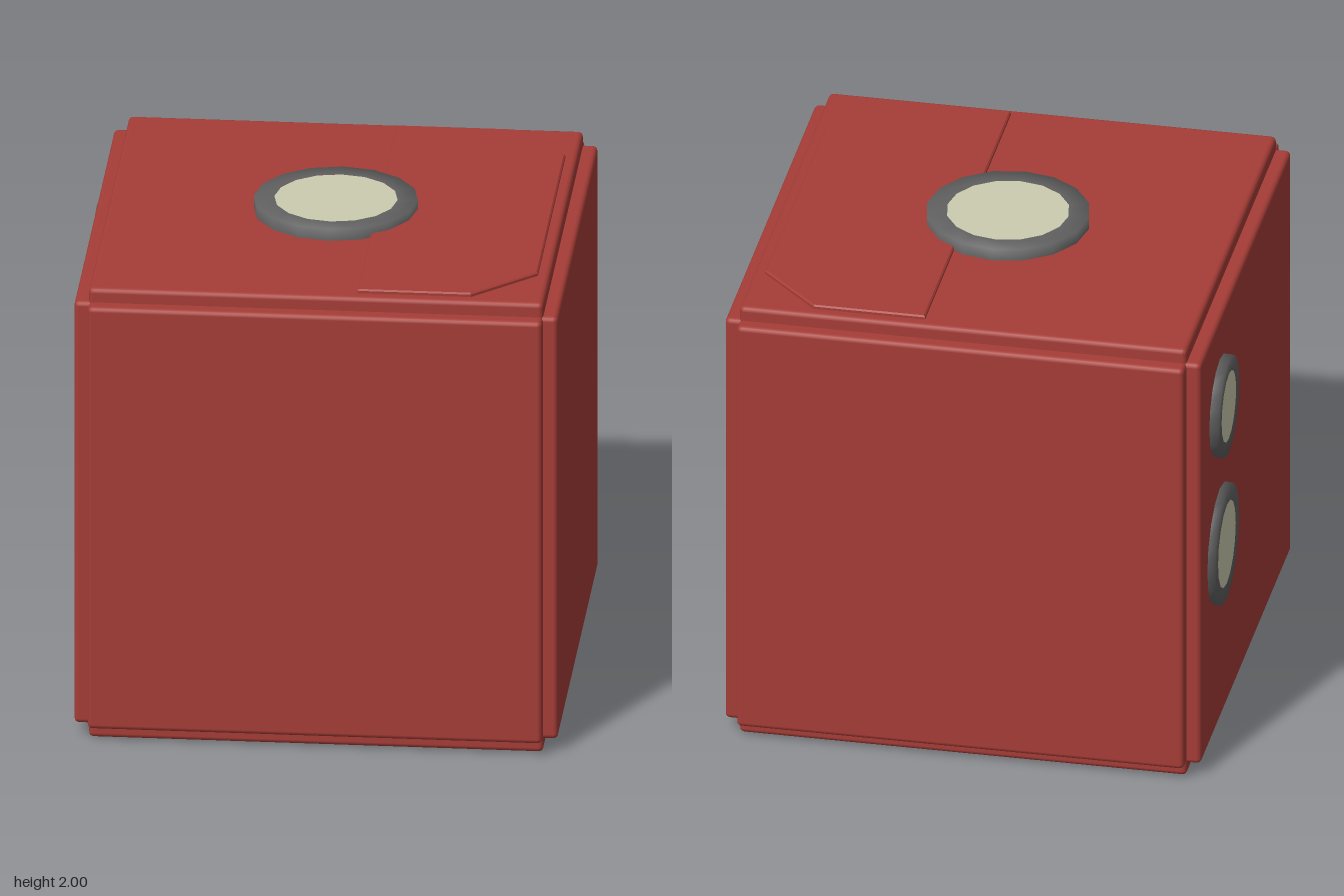
import * as THREE from 'three';
import { RoundedBoxGeometry } from 'three/addons/geometries/RoundedBoxGeometry.js';

const CX = 0.016, CY = 0.977; // body centre
const LONG = 1.945, SHORT = 1.827; // slab sizes: their overlap leaves notched edges

export function createModel() {
  const model = new THREE.Group();
  model.name = 'cubeCrate';
  const red = new THREE.MeshStandardMaterial({ color: 0xa63d37 });
  red.name = 'red paint';
  const grey = new THREE.MeshStandardMaterial({ color: 0x616161 });
  grey.name = 'dark grey metal';
  const cream = new THREE.MeshStandardMaterial({ color: 0xcbccb0 });
  cream.name = 'pale lens';

  const add = (parent, name, geometry, material) => {
    const mesh = new THREE.Mesh(geometry, material);
    mesh.name = name;
    parent.add(mesh);
    return mesh;
  };

  // Body: three crossed slabs, one pair of face panels each
  ['sidePanels', 'topAndBottomPanels', 'frontAndBackPanels'].forEach((name, axis) => {
    const size = [SHORT, SHORT, SHORT];
    size[axis] = LONG;
    add(model, name, new RoundedBoxGeometry(...size, 2, 0.02), red).position.set(CX, CY, 0);
  });

  // Top hatch: thin plate with two cut corners
  const b = 0.006;
  const outline = [[0.18, -0.867], [0.635, -0.867], [0.883, -0.62], [0.883, 0.62], [0.635, 0.867], [0.18, 0.867]];
  const shape = new THREE.Shape(outline.map(([x, z]) => new THREE.Vector2(x, z)));
  const hatch = add(model, 'topHatch', new THREE.ExtrudeGeometry(shape, {
    depth: 0.018, bevelEnabled: true, bevelSize: b, bevelOffset: -b, bevelThickness: b, bevelSegments: 1,
  }), red);
  hatch.rotation.x = -Math.PI / 2;
  hatch.position.y = 1.966 - 0.018 - b;

  // Lamps: softly shaded ring with a flush lens, built facing +y
  const lamp = (name, radius, lens, height) => {
    const group = new THREE.Group();
    group.name = name;
    const profile = [[radius, 0], [radius, height], [lens, height], [lens, height - 0.008]];
    // Flat-topped ring with normals blended over its outer rim
    const ring = new THREE.LatheGeometry(profile.slice(0, 3).map(([r, y]) => new THREE.Vector2(r, y)), 16, Math.PI / 2);
    add(group, 'ring', ring, grey);
    const disc = new THREE.CircleGeometry(lens, 16);
    disc.rotateX(-Math.PI / 2);
    add(group, 'lens', disc, cream).position.y = height - 0.0005;
    model.add(group);
    return group;
  };

  lamp('topLamp', 0.33, 0.248, 0.06).position.set(CX, 1.94, 0);
  const upper = lamp('upperSideLamp', 0.21, 0.148, 0.054);
  upper.position.set(-0.94, 1.5, -0.53);
  const lower = lamp('lowerSideLamp', 0.25, 0.18, 0.046);
  lower.position.set(-0.94, 0.87, -0.53);
  for (const side of [upper, lower]) side.rotation.z = Math.PI / 2;

  return model;
}
